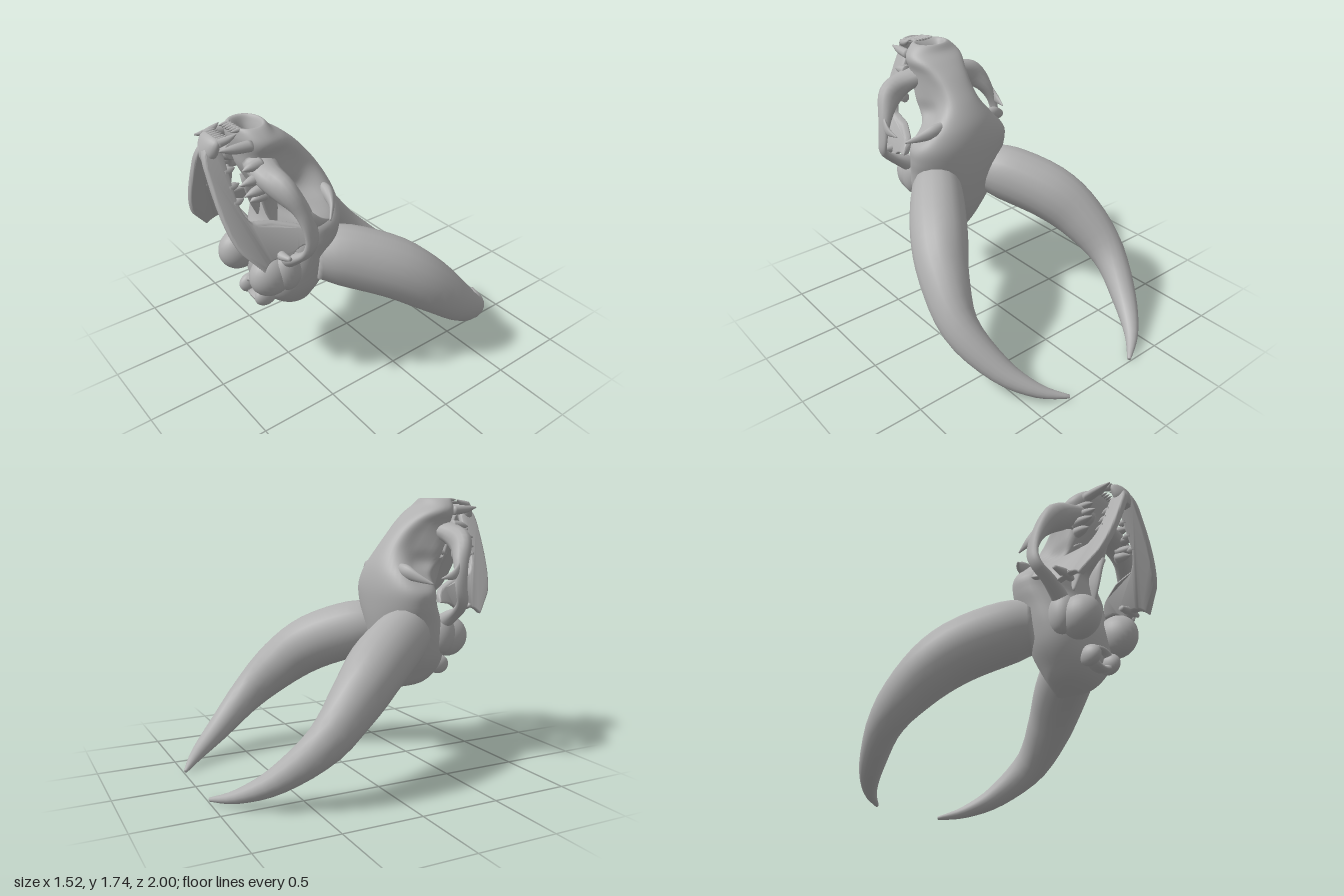
import * as THREE from 'three';
import { toCreasedNormals } from 'three/addons/utils/BufferGeometryUtils.js';

const V = (x, y, z) => new THREE.Vector3(x, y, z);

// Closed skin over a row of equal rings, with fan caps
function skin(rings) {
  const n = rings[0].length, pos = [], idx = [];
  rings.forEach(r => r.forEach(p => pos.push(p.x, p.y, p.z)));
  for (let i = 0; i < rings.length - 1; i++) {
    for (let j = 0; j < n; j++) {
      const k = (j + 1) % n, a = i * n + j, b = i * n + k;
      idx.push(a, b, b + n, a, b + n, a + n);
    }
  }
  [0, rings.length - 1].forEach((r, end) => {
    const c = V(0, 0, 0);
    rings[r].forEach(p => c.addScaledVector(p, 1 / n));
    const m = pos.length / 3;
    pos.push(c.x, c.y, c.z);
    for (let j = 0; j < n; j++) {
      const a = r * n + j, b = r * n + (j + 1) % n;
      if (end) idx.push(m, a, b); else idx.push(m, b, a);
    }
  });
  const g = new THREE.BufferGeometry();
  g.setAttribute('position', new THREE.Float32BufferAttribute(pos, 3));
  g.setIndex(idx);
  g.computeVertexNormals();
  return g;
}

// Smooth sampling of rows of numbers
function sample(rows, t) {
  const f = t * (rows.length - 1), i = Math.min(Math.floor(f), rows.length - 2), u = f - i;
  const at = k => rows[Math.max(0, Math.min(rows.length - 1, k))];
  return rows[0].map((_, c) => {
    const [p, q, r, s] = [at(i - 1)[c], at(i)[c], at(i + 1)[c], at(i + 2)[c]];
    return q + 0.5 * u * (r - p + u * (2 * p - 5 * q + 4 * r - s + u * (3 * (q - r) + s - p)));
  });
}

// Tapered bent bone; rows are x, y, z, radius along ref, radius across
function bone(rows, ref = V(0, 0, 1), steps = 24, sides = 14) {
  const rings = [];
  const point = t => V(...sample(rows, t).slice(0, 3));
  for (let i = 0; i <= steps; i++) {
    const t = i / steps, s = sample(rows, t), c = point(t);
    const T = point(Math.min(1, t + 0.01)).sub(point(Math.max(0, t - 0.01))).normalize();
    const N = ref.clone().cross(T).normalize(), B = T.clone().cross(N);
    rings.push(Array.from({ length: sides }, (_, j) => {
      const a = j / sides * Math.PI * 2;
      return c.clone().addScaledVector(N, Math.cos(a) * s[4]).addScaledVector(B, Math.sin(a) * s[3]);
    }));
  }
  return skin(rings);
}

// Mirror across x with corner order kept outward
function mirror(geo) {
  const g = geo.index ? geo.toNonIndexed() : geo.clone();
  for (const name of ['position', 'normal']) {
    const a = g.attributes[name];
    for (let i = 0; i < a.count; i += 3) {
      const p = [0, 2, 1].map(k => [-a.getX(i + k), a.getY(i + k), a.getZ(i + k)]);
      p.forEach((q, k) => a.setXYZ(i + k, ...q));
    }
  }
  return g;
}

const ball = (x, y, z, rx, ry, rz) =>
  new THREE.SphereGeometry(1, 24, 16).scale(rx, ry, rz).translate(x, y, z);

// Skull from occiput up to the snout: y, half width, back z, front z, eye socket depth and angle
function skullGeometry() {
  const rows = [
    [0.48, 0.03, 0.37, 0.43, 0, 1.2], [0.52, 0.14, 0.36, 0.58, 0, 1.2], [0.60, 0.21, 0.32, 0.67, 0, 1.2],
    [0.70, 0.27, 0.28, 0.70, 0, 1.2], [0.82, 0.305, 0.245, 0.70, 0, 1.2], [0.95, 0.33, 0.215, 0.66, 0, 1.2],
    [1.06, 0.355, 0.20, 0.61, 0, 1.2], [1.16, 0.36, 0.195, 0.595, 0.03, 1.2], [1.25, 0.32, 0.205, 0.595, 0.25, 1.2],
    [1.33, 0.275, 0.23, 0.665, 0.46, 1.4], [1.42, 0.225, 0.28, 0.72, 0.40, 1.75], [1.50, 0.205, 0.34, 0.755, 0.33, 1.9],
    [1.58, 0.20, 0.41, 0.77, 0.22, 1.9], [1.65, 0.203, 0.49, 0.785, 0.08, 1.9], [1.70, 0.17, 0.56, 0.79, 0, 1.9],
    [1.745, 0.11, 0.60, 0.78, 0, 1.9], [1.70, 0.08, 0.625, 0.73, 0, 1.9], [1.62, 0.05, 0.64, 0.70, 0, 1.9],
  ];
  const rings = [], sides = 48, steps = 85;
  for (let i = 0; i <= steps; i++) {
    const [y, w, zb, zf, depth, angle] = sample(rows, i / steps);
    rings.push(Array.from({ length: sides }, (_, j) => {
      const a = (j / sides - 0.5) * Math.PI * 2;
      const power = Math.cos(a) > 0 ? 0.85 : 1;
      const pw = v => Math.sign(v) * Math.abs(v) ** power;
      const dent = 1 - depth * Math.exp(-(((Math.abs(a) - angle) / 0.7) ** 2));
      return V(w * pw(Math.sin(a)) * dent, y, (zb + zf) / 2 + (zf - zb) / 2 * pw(Math.cos(a)));
    }));
  }
  return skin(rings);
}

// Side plate of the lower jaw, slanted so both sides meet in a V
function jawGeometry() {
  const s = new THREE.Shape();
  s.moveTo(-0.93, 1.69);
  s.quadraticCurveTo(-0.99, 1.66, -0.985, 1.54);
  s.quadraticCurveTo(-0.99, 1.25, -0.93, 1.13);
  s.lineTo(-0.84, 1.015);
  s.quadraticCurveTo(-0.80, 1.06, -0.74, 1.05);
  s.lineTo(-0.68, 1.02);
  s.quadraticCurveTo(-0.64, 1.08, -0.58, 1.09);
  s.lineTo(-0.52, 1.10);
  s.quadraticCurveTo(-0.52, 1.16, -0.60, 1.18);
  s.quadraticCurveTo(-0.72, 1.22, -0.83, 1.24);
  s.quadraticCurveTo(-0.89, 1.30, -0.89, 1.42);
  s.lineTo(-0.89, 1.62);
  const g = new THREE.ExtrudeGeometry(s, {
    depth: 0.024, bevelSize: 0.012, bevelThickness: 0.014, bevelSegments: 3, curveSegments: 10,
  }).translate(0, 0, -0.012).rotateY(Math.PI / 2);
  const p = g.attributes.position;
  for (let i = 0; i < p.count; i++) {
    const flare = Math.max(0, 0.7 - p.getZ(i)) * 0.35;
    p.setX(i, p.getX(i) + 0.04 + (1.62 - p.getY(i)) * 0.47 + flare);
  }
  return toCreasedNormals(g, 0.8);
}

export function createModel() {
  const group = new THREE.Group();
  const mat = new THREE.MeshStandardMaterial({ color: 0xb0b0b0 });
  mat.name = 'bone grey';
  const add = (name, g) => {
    const m = new THREE.Mesh(g, mat);
    m.name = name;
    group.add(m);
  };
  const pair = (name, g) => { add('left ' + name, g); add('right ' + name, mirror(g)); };

  add('skull', skullGeometry());

  // Horns sweep out, back and down
  pair('horn', bone([
    [0.21, 0.87, 0.38, 0.16, 0.15], [0.30, 0.85, 0.25, 0.195, 0.175], [0.47, 0.745, 0.0, 0.195, 0.18],
    [0.585, 0.59, -0.2, 0.17, 0.155], [0.642, 0.375, -0.43, 0.125, 0.112], [0.55, 0.175, -0.68, 0.08, 0.08],
    [0.415, 0.065, -0.87, 0.042, 0.045], [0.265, 0.014, -0.99, 0.012, 0.012],
  ], V(0, 1, 0), 28, 18));

  // Cheek arches and the spikes around the eye sockets
  pair('cheekArch', bone([
    [0.10, 1.54, 0.69, 0.10, 0.06], [0.22, 1.505, 0.705, 0.085, 0.07], [0.34, 1.45, 0.68, 0.065, 0.085],
    [0.42, 1.34, 0.625, 0.05, 0.045], [0.465, 1.2, 0.60, 0.045, 0.018], [0.455, 1.1, 0.62, 0.04, 0.022],
    [0.38, 1.03, 0.64, 0.045, 0.03], [0.28, 0.97, 0.63, 0.05, 0.05], [0.18, 0.90, 0.60, 0.05, 0.06],
  ], V(0, 0, 1), 36));
  pair('cheekSpike', bone([
    [0.44, 1.31, 0.62, 0.05, 0.015], [0.455, 1.27, 0.55, 0.03, 0.014], [0.44, 1.25, 0.47, 0.004, 0.004],
  ], V(0, 1, 0), 10));
  pair('browSpike', bone([
    [0.15, 1.31, 0.33, 0.02, 0.02], [0.24, 1.285, 0.33, 0.045, 0.035],
    [0.33, 1.25, 0.365, 0.028, 0.016], [0.405, 1.215, 0.43, 0.006, 0.006],
  ], V(0, 1, 0), 16));

  // Underside: palate ridges, ear chambers, neck joint
  pair('palateRidge', bone([
    [0.12, 1.37, 0.64, 0.05, 0.03], [0.095, 1.31, 0.64, 0.05, 0.02],
    [0.09, 1.2, 0.60, 0.06, 0.014], [0.10, 1.09, 0.57, 0.04, 0.01],
  ], V(0, 0, 1), 14));
  pair('earChamber', ball(0.18, 0.835, 0.70, 0.105, 0.135, 0.14));
  pair('earWall', ball(0.24, 0.86, 0.62, 0.07, 0.13, 0.09));
  pair('neckJoint', ball(0.09, 0.625, 0.695, 0.045, 0.065, 0.075));
  add('neckOpening', new THREE.TorusGeometry(0.085, 0.028, 10, 32).scale(1, 0.7, 1.6).translate(0, 0.63, 0.69));

  // Lower jaw
  pair('jaw', jawGeometry());
  pair('jawHinge', bone([
    [0.24, 1.06, 0.70, 0.02, 0.015], [0.32, 1.055, 0.72, 0.03, 0.028], [0.41, 1.065, 0.71, 0.012, 0.012],
  ], V(0, 0, 1), 12));
  add('chin', bone([
    [0, 1.58, 0.945, 0.03, 0.04], [0, 1.63, 0.94, 0.045, 0.075],
    [0, 1.69, 0.92, 0.04, 0.09], [0, 1.715, 0.90, 0.025, 0.075],
  ], V(0, 0, 1), 16, 20));

  // Teeth
  const tooth = (name, x, y, z, dx, dy, dz, r) => pair(name, bone([
    [x, y, z, r, r], [x + dx * 0.55, y + dy * 0.4, z + dz * 0.55, r * 0.8, r * 0.8],
    [x + dx, y + dy, z + dz, r * 0.12, r * 0.12],
  ], V(0, 1, 0), 8, 10));
  tooth('upperCanine', 0.135, 1.665, 0.75, 0, 0.02, 0.19, 0.033);
  tooth('lowerCanine', 0.075, 1.70, 0.91, 0.02, 0.035, -0.10, 0.024);
  [[0.175, 1.57, 0.08], [0.195, 1.50, 0.11], [0.215, 1.44, 0.10], [0.20, 1.39, 0.06]].forEach(
    ([x, y, len]) => tooth('upperCheekTooth', x, y, 0.72, 0.01, -0.01, len + 0.04, 0.034));
  [1.53, 1.45, 1.37].forEach(
    y => tooth('lowerCheekTooth', 0.04 + (1.62 - y) * 0.47, y, 0.90, 0, 0.01, -0.07, 0.026));
  [0.012, 0.036, 0.06].forEach(x => {
    tooth('upperIncisor', x, 1.735, 0.76, 0, 0, 0.07, 0.013);
    tooth('lowerIncisor', x, 1.715, 0.91, 0, 0.01, -0.06, 0.012);
  });
  return group;
}
